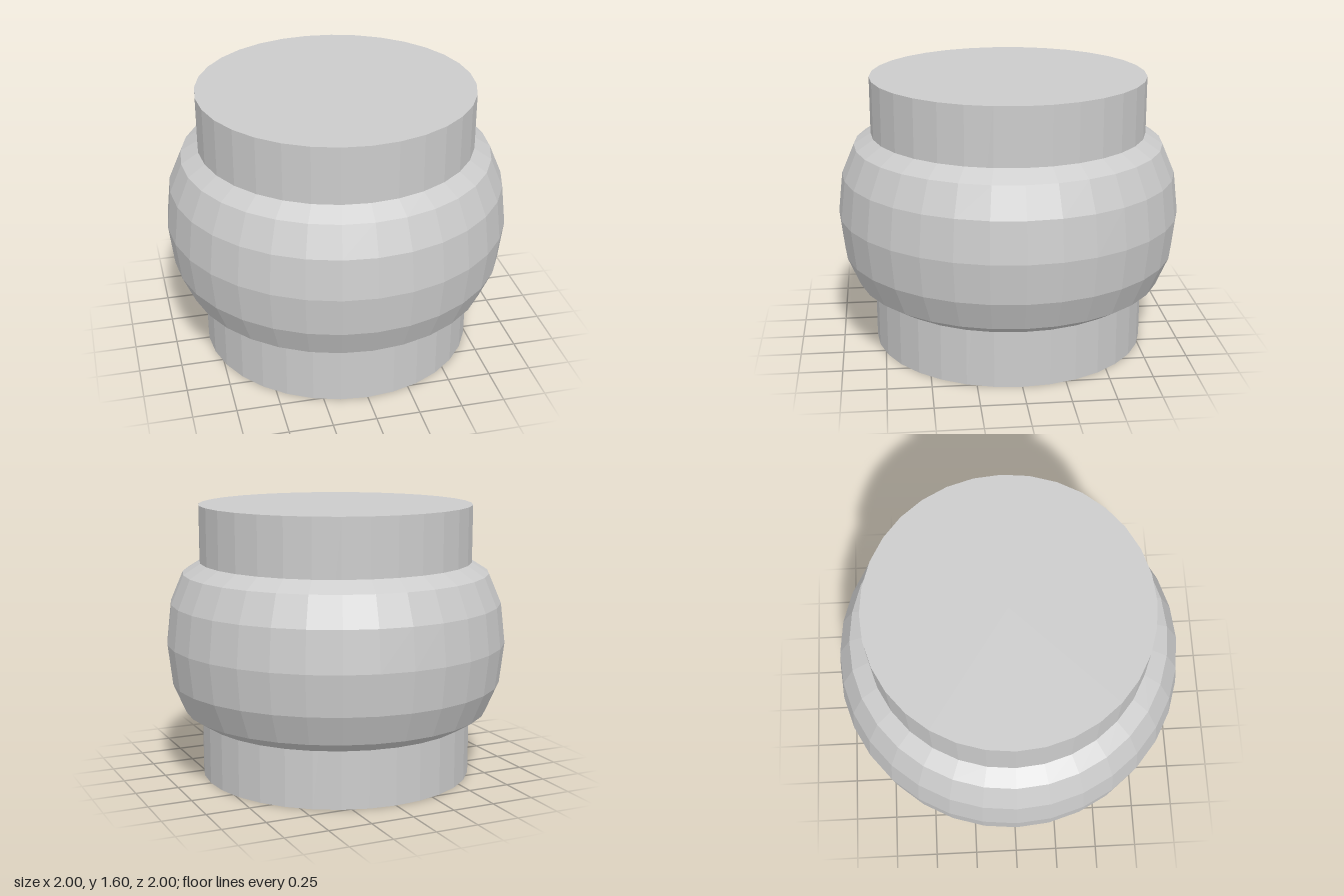
import * as THREE from 'three';

const SIDES = 32;
const RADIUS = 0.8;
const HEIGHT = 1.6;

export function createModel() {
  const group = new THREE.Group();
  group.name = 'bandedDrum';
  const material = new THREE.MeshStandardMaterial({ color: 0xcccccc, flatShading: true });

  const addPart = (name, geometry) => {
    const mesh = new THREE.Mesh(geometry, material);
    mesh.name = name;
    mesh.position.y = HEIGHT / 2;
    group.add(mesh);
  };

  // Straight core, capped at both ends
  addPart('core', new THREE.CylinderGeometry(RADIUS, RADIUS, HEIGHT, SIDES));

  // Bulging band: a ring laid flat and stretched upright, 12-sided in section
  const band = new THREE.TorusGeometry(RADIUS, 0.2, 12, SIDES);
  band.rotateX(Math.PI / 2);
  band.scale(1, 2.34, 1);
  addPart('bulgingBand', band);

  return group;
}
